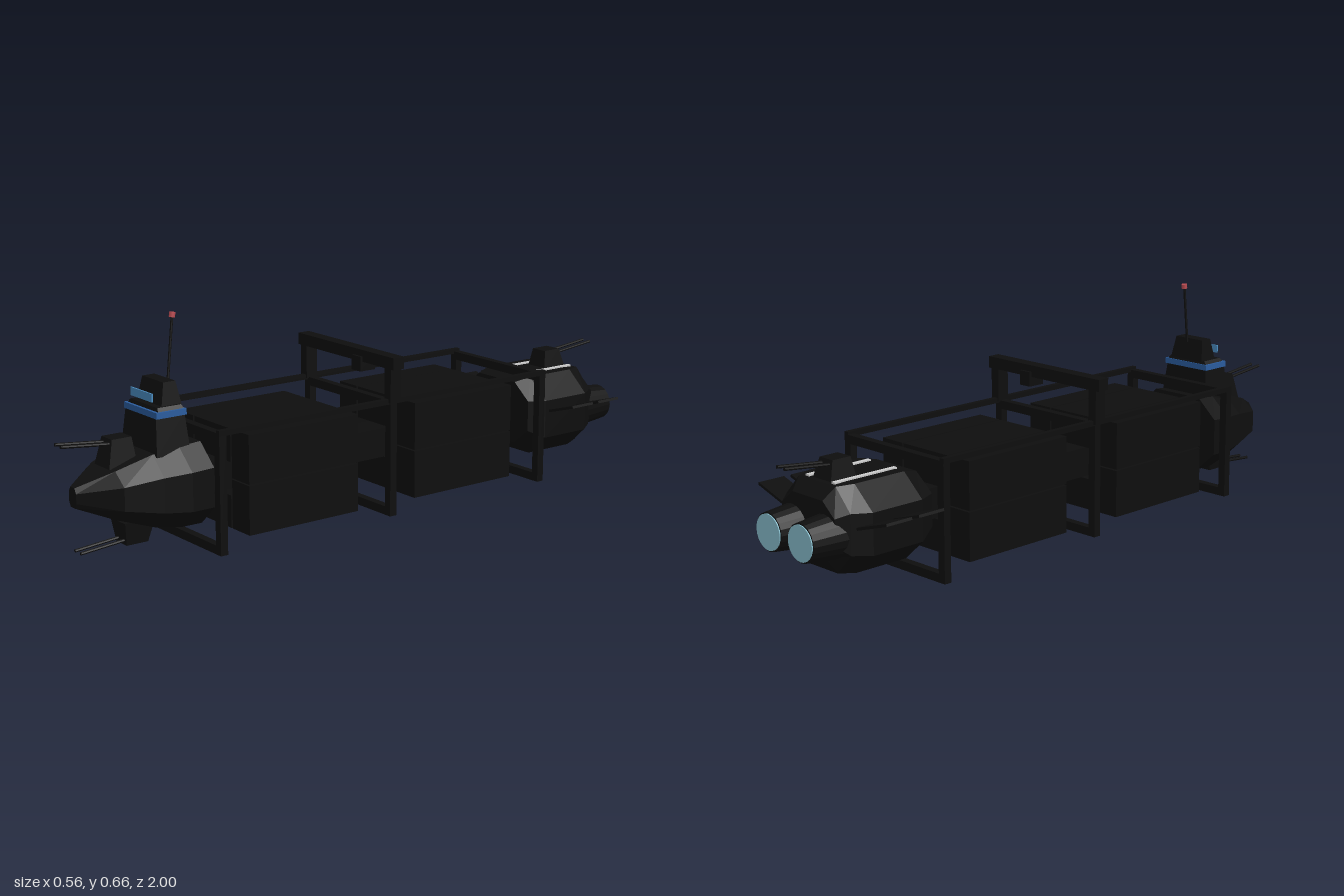
import * as THREE from 'three';

const mat = (color, side = THREE.FrontSide) => {
  const m = new THREE.MeshStandardMaterial({ color, side });
  m.flatShading = true;
  return m;
};

export function createModel() {
  const root = new THREE.Group();
  const black = mat(0x0e0e0e), blue = mat(0x2a5c9e), glass = mat(0x4a8cc0);
  const red = mat(0xb84a50), white = mat(0xe0e0e0), glow = mat(0x86bccb);

  const add = (name, geo, material = black, parent = root) => {
    const mesh = new THREE.Mesh(geo, material);
    mesh.name = name;
    parent.add(mesh);
    return mesh;
  };
  // Box given by its low and high limits on each axis
  const box = (name, x0, x1, y0, y1, z0, z1, material = black, parent = root) => {
    const m = add(name, new THREE.BoxGeometry(x1 - x0, y1 - y0, z1 - z0), material, parent);
    m.position.set((x0 + x1) / 2, (y0 + y1) / 2, (z0 + z1) / 2);
    return m;
  };
  // Box whose top is scaled in x and z, and shifted along z
  const taper = (name, w, d, y0, y1, z, sx, sz, shift = 0, parent = root) => {
    const g = new THREE.BoxGeometry(w, y1 - y0, d);
    const p = g.attributes.position;
    for (let i = 0; i < p.count; i++) {
      if (p.getY(i) > 0) p.setXYZ(i, p.getX(i) * sx, p.getY(i), p.getZ(i) * sz + shift);
    }
    g.computeVertexNormals();
    const m = add(name, g, black, parent);
    m.position.set(0, (y0 + y1) / 2, z);
    return m;
  };
  // Round bar between two points
  const rod = (name, a, b, r, material = black, parent = root) => {
    const from = new THREE.Vector3(...a), to = new THREE.Vector3(...b);
    const dir = to.clone().sub(from);
    const m = add(name, new THREE.CylinderGeometry(r, r, dir.length(), 8), material, parent);
    m.position.copy(from).add(to).multiplyScalar(0.5);
    m.quaternion.setFromUnitVectors(new THREE.Vector3(0, 1, 0), dir.normalize());
    return m;
  };
  // Eight-sided hull through sections [z, half width, bottom y, top y], z increasing
  const hull = (name, sections) => {
    const pos = [], index = [], n = 8, last = (sections.length - 1) * n;
    for (const [z, w, lo, hi] of sections) {
      const c = (hi - lo) * 0.26, f = w * 0.57;
      const ring = [[w, lo + c], [w, hi - c], [f, hi], [-f, hi], [-w, hi - c], [-w, lo + c], [-f, lo], [f, lo]];
      for (const [x, y] of ring) pos.push(x, y, z);
    }
    for (let s = 0; s < last; s += n) {
      for (let j = 0; j < n; j++) {
        const k = (j + 1) % n;
        index.push(s + j, s + k, s + n + j, s + k, s + n + k, s + n + j);
      }
    }
    for (let j = 1; j < n - 1; j++) index.push(0, j + 1, j, last, last + j, last + j + 1);
    const g = new THREE.BufferGeometry();
    g.setAttribute('position', new THREE.Float32BufferAttribute(pos, 3));
    g.setIndex(index);
    const flat = g.toNonIndexed();
    flat.computeVertexNormals();
    return add(name, flat);
  };

  // Nose and stern hulls
  hull('frontHull', [[0.6, 0.16, 0.065, 0.305], [0.67, 0.158, 0.065, 0.3], [0.75, 0.14, 0.078, 0.288],
    [0.86, 0.11, 0.115, 0.255], [0.96, 0.02, 0.155, 0.213]]);
  hull('rearHull', [[-0.915, 0.115, 0.115, 0.275], [-0.88, 0.14, 0.065, 0.31], [-0.83, 0.173, 0.06, 0.312],
    [-0.655, 0.173, 0.06, 0.312], [-0.6, 0.15, 0.1, 0.3]]);

  // Spine joining the hulls
  box('spine', -0.045, 0.045, 0.13, 0.222, -0.61, 0.61);

  // Square cargo frames and top rails
  for (const z of [-0.6, 0, 0.605]) {
    const frame = new THREE.Group();
    frame.name = 'cargoFrame';
    root.add(frame);
    for (const s of [-1, 1]) {
      const x = s * 0.2;
      box('framePost', x - 0.0125, x + 0.0125, 0, 0.353, z - 0.012, z + 0.012, black, frame);
    }
    box('frameBottom', -0.2, 0.2, 0, 0.026, z - 0.012, z + 0.012, black, frame);
    box('frameTop', -0.2, 0.2, 0.327, 0.353, z - 0.012, z + 0.012, black, frame);
  }
  for (const s of [-1, 1]) box('topRail', s * 0.205 - 0.008, s * 0.205 + 0.008, 0.345, 0.361, -0.612, 0.617);

  // Raised gantry over the middle frame
  for (const s of [-1, 1]) box('gantryPost', s * 0.207 - 0.015, s * 0.207 + 0.015, 0.35, 0.455, -0.02, 0.02);
  box('gantryBeam', -0.234, 0.234, 0.452, 0.488, -0.02, 0.02);
  box('gantryTrolley', 0.046, 0.088, 0.423, 0.468, -0.028, 0.028);

  // Containers in two bays, wrapped around the spine
  for (const [z0, z1] of [[0.112, 0.5], [-0.492, -0.104]]) {
    for (const s of [-1, 1]) {
      const x = s * 0.142;
      box('lowerSideContainer', x - 0.043, x + 0.043, 0.03, 0.176, z0, z1);
      box('upperSideContainer', x - 0.043, x + 0.043, 0.18, 0.325, z0, z1);
    }
    box('lowerMiddleContainer', -0.093, 0.093, 0.03, 0.127, z0, z1);
    box('upperMiddleContainer', -0.093, 0.093, 0.226, 0.325, z0, z1);
  }

  // Bridge tower with window bands
  taper('bridgeBase', 0.19, 0.11, 0.28, 0.39, 0.69, 0.85, 0.85);
  box('bridgeWindowBand', -0.087, 0.087, 0.387, 0.405, 0.64, 0.738, blue);
  taper('bridgeRoof', 0.16, 0.085, 0.405, 0.415, 0.687, 0.9, 0.9);
  taper('bridgeTop', 0.13, 0.066, 0.412, 0.48, 0.675, 0.85, 0.6);
  box('lookoutWindow', -0.056, 0.056, 0.429, 0.453, 0.729, 0.734, glass);
  rod('mast', [0, 0.47, 0.645], [0, 0.655, 0.626], 0.004);
  rod('mastLight', [0, 0.648, 0.627], [0, 0.662, 0.625], 0.009, red);

  // Twin-gun turrets: base, direction of fire and barrel ends
  const turret = (name, y0, y1, z, dir, topScale, muzzleY, muzzleZ) => {
    const t = new THREE.Group();
    t.name = name;
    root.add(t);
    const up = topScale < 1;
    taper('turretBody', up ? 0.08 : 0.056, up ? 0.09 : 0.07, y0, y1, z, topScale, topScale, -dir * 0.004, t);
    const y = up ? y1 - 0.015 : y0 + 0.015;
    for (const s of [-1, 1]) rod('barrel', [s * 0.016, y, z + dir * 0.02], [s * 0.016, muzzleY, muzzleZ], 0.005, black, t);
  };
  turret('upperFrontTurret', 0.255, 0.335, 0.82, 1, 0.7, 0.337, 1.0);
  turret('lowerFrontTurret', 0.022, 0.09, 0.775, 1, 1.4, 0.024, 0.95);
  turret('rearTurret', 0.305, 0.367, -0.82, -1, 0.7, 0.37, -1.0);

  // Light strips on the stern roof
  for (const s of [-1, 1]) box('roofStrip', s * 0.056 - 0.007, s * 0.056 + 0.007, 0.305, 0.316, -0.87, -0.65, white);

  // Side fins, two per side, tilted upward
  for (const s of [-1, 1]) for (const z of [-0.828, -0.715]) {
    const fin = box('fin', -0.065, 0.065, -0.004, 0.004, -0.0445, 0.0445);
    fin.position.set(s * 0.217, 0.225, z);
    fin.rotation.z = s * 0.3;
  }

  // Twin engines with glowing ends
  for (const s of [-1, 1]) {
    const engine = add('engine', new THREE.CylinderGeometry(0.068, 0.056, 0.115, 20));
    engine.rotation.x = Math.PI / 2;
    engine.position.set(s * 0.07, 0.175, -0.937);
    const disc = add('engineGlow', new THREE.CylinderGeometry(0.052, 0.052, 0.006, 24), glow);
    disc.rotation.x = Math.PI / 2;
    disc.position.set(s * 0.07, 0.175, -0.995);
  }
  return root;
}
